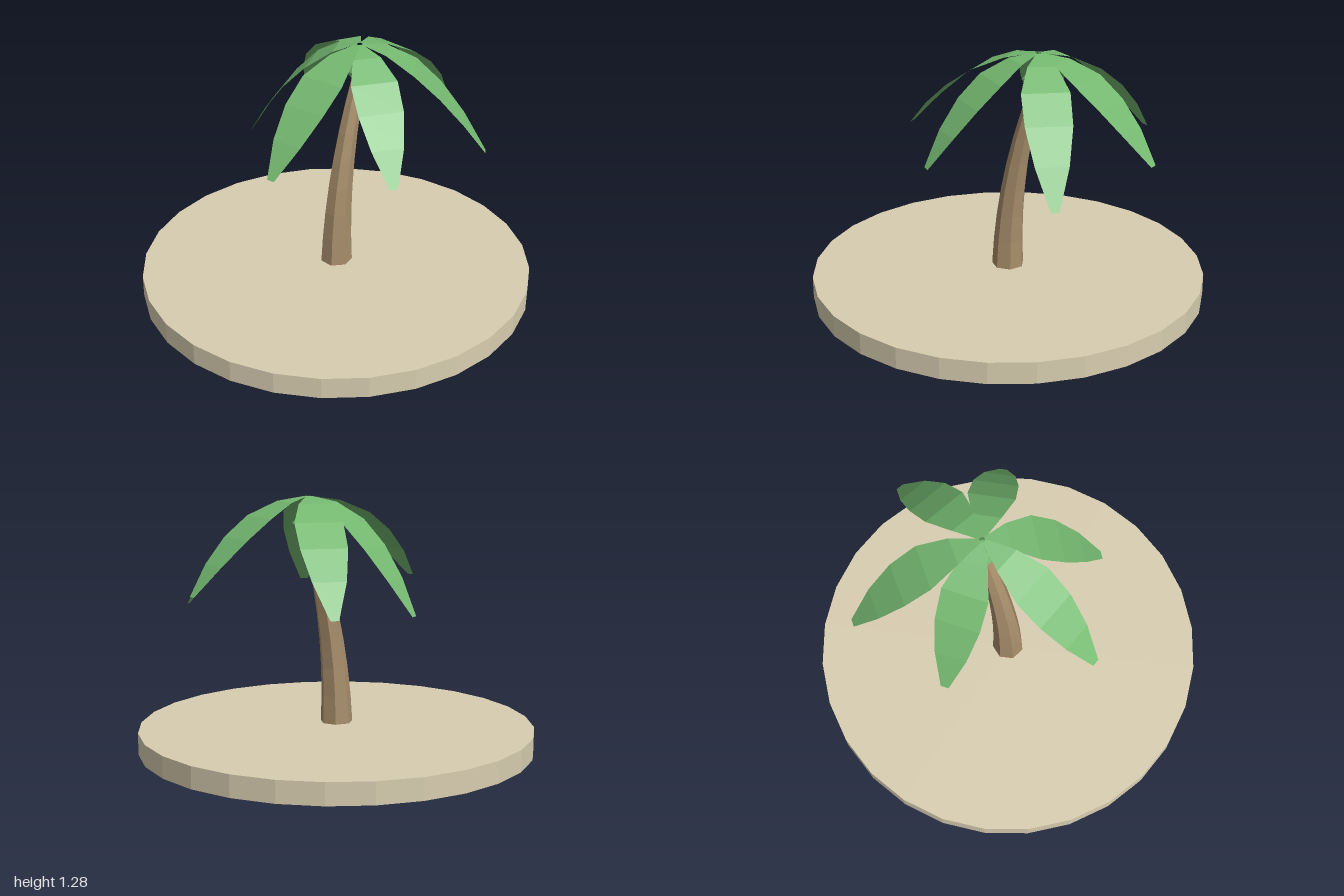
import * as THREE from 'three';

const mat = (name, color, extra = {}) =>
  Object.assign(new THREE.MeshStandardMaterial({ color, flatShading: true, ...extra }), { name });

function part(name, geometry, material) {
  const mesh = new THREE.Mesh(geometry, material);
  mesh.name = name;
  return mesh;
}

// Arched leaf blade along +x: flat ribs that widen, then taper as they droop
function frondGeometry(length, drop) {
  const stations = [0.02, 0.21, 0.43, 0.63, 0.82, 1];
  const halfWidths = [0.012, 0.07, 0.116, 0.112, 0.08, 0.02];
  const positions = [], index = [];
  stations.forEach((t, i) => {
    const y = -drop * Math.pow(t, 1.9);
    positions.push(t * length, y, -halfWidths[i], t * length, y, halfWidths[i]);
    if (i) {
      const a = 2 * (i - 1);
      index.push(a, a + 1, a + 2, a + 1, a + 3, a + 2);
    }
  });
  const g = new THREE.BufferGeometry();
  g.setAttribute('position', new THREE.Float32BufferAttribute(positions, 3));
  g.setIndex(index);
  g.computeVertexNormals();
  return g;
}

export function createModel() {
  const sand = mat('sand', 0xd8cdb0);
  const bark = mat('bark', 0xa88e6b);
  const leaf = mat('leaf green', 0x74b870, { side: THREE.DoubleSide });
  const group = new THREE.Group();
  group.name = 'palmIsland';

  // Sandy disc
  const ground = part('sandDisc', new THREE.CylinderGeometry(1, 1, 0.11, 28), sand);
  ground.position.y = 0.055;
  group.add(ground);

  // Tapered trunk, bent sideways by a parabola
  const y0 = 0.13, height = 0.99, lean = 0.17;
  const trunk = new THREE.CylinderGeometry(0.036, 0.082, height, 7, 7, false, Math.PI / 2);
  trunk.translate(0, height / 2, 0);
  const p = trunk.attributes.position;
  for (let i = 0; i < p.count; i++) {
    p.setX(i, p.getX(i) + lean * (p.getY(i) / height) ** 2);
  }
  trunk.translate(0, y0, 0);
  trunk.computeVertexNormals();
  group.add(part('trunk', trunk, bark));

  // Faceted bud on top of the trunk
  const bud = part('crownBud', new THREE.IcosahedronGeometry(0.08, 0), leaf);
  bud.scale.y = 0.7;
  bud.position.set(lean, 1.15, 0);
  group.add(bud);

  // Six fronds: tip offset in x and z, and droop
  const fronds = new THREE.Group();
  fronds.name = 'fronds';
  fronds.position.set(lean, 1.282, 0);
  const tips = [
    [0.64, 0.03, 0.445], [0.385, 0.51, 0.56], [-0.32, 0.505, 0.49],
    [-0.70, 0.07, 0.45], [-0.255, -0.515, 0.55], [0.285, -0.62, 0.5],
  ];
  tips.forEach(([x, z, drop], i) => {
    const frond = part('frond' + (i + 1), frondGeometry(Math.hypot(x, z), drop), leaf);
    frond.rotation.y = -Math.atan2(z, x);
    fronds.add(frond);
  });
  group.add(fronds);
  return group;
}
